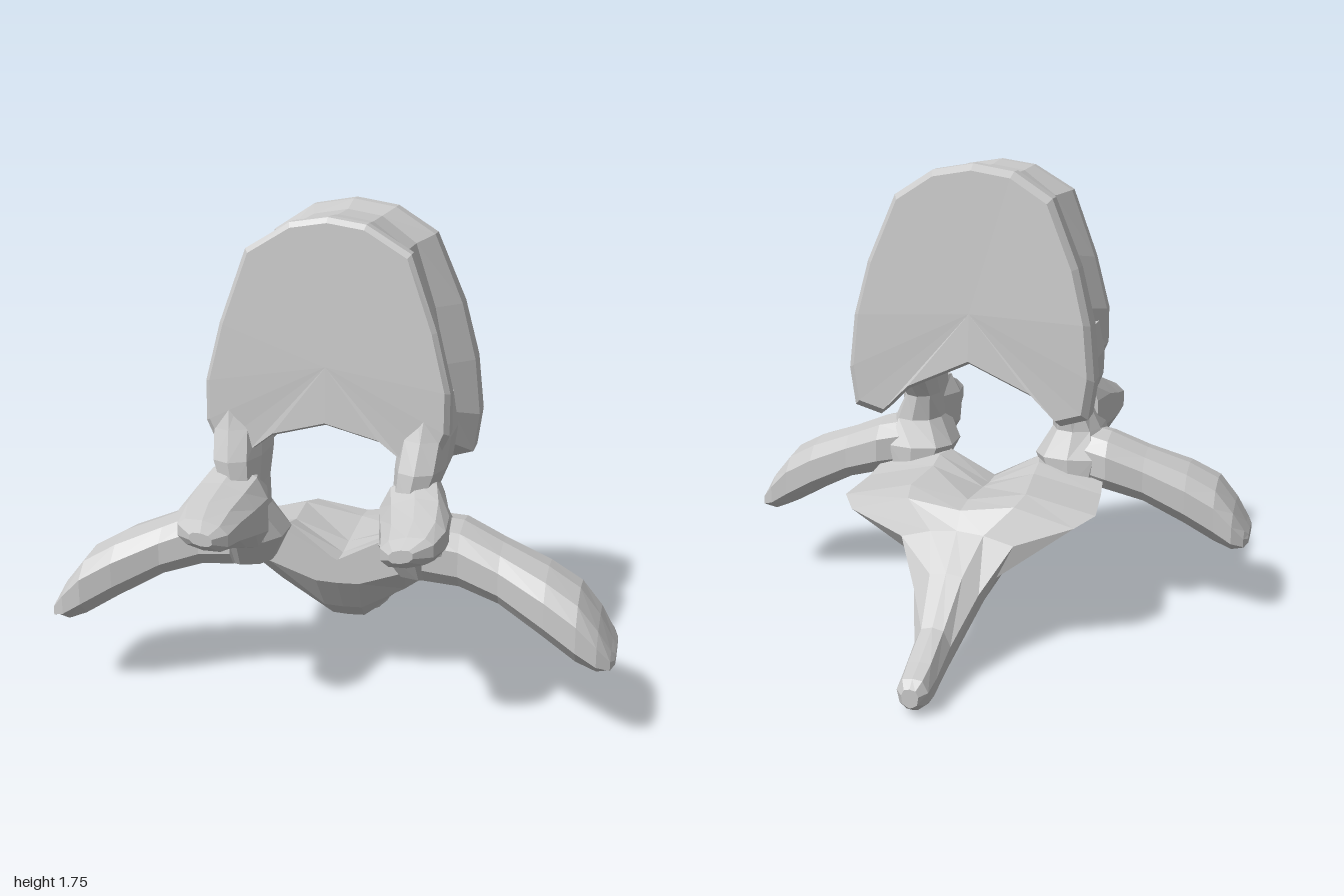
import * as THREE from 'three';

const bone = new THREE.MeshStandardMaterial({ color: 0xcacaca, flatShading: true });
bone.name = 'bone grey';

// Skin a list of equal-length rings and close both ends with fans; faces always point outward
function loft(rings) {
  const n = rings[0].length, pos = rings.flat(2), idx = [];
  for (let r = 0; r < rings.length - 1; r++) {
    for (let i = 0; i < n; i++) {
      const a = r * n + i, b = r * n + (i + 1) % n;
      idx.push(a, b, a + n, b, b + n, a + n);
    }
  }
  [0, rings.length - 1].forEach((r, end) => {
    const c = pos.length / 3;
    for (let k = 0; k < 3; k++) pos.push(rings[r].reduce((s, p) => s + p[k], 0) / n);
    for (let i = 0; i < n; i++) {
      const a = r * n + i, b = r * n + (i + 1) % n;
      if (end) idx.push(a, b, c); else idx.push(b, a, c);
    }
  });
  const point = (i) => new THREE.Vector3().fromArray(pos, i * 3);
  let volume = 0;
  for (let i = 0; i < idx.length; i += 3) {
    volume += point(idx[i]).dot(point(idx[i + 1]).cross(point(idx[i + 2])));
  }
  if (volume < 0) idx.reverse();
  const geometry = new THREE.BufferGeometry();
  geometry.setAttribute('position', new THREE.Float32BufferAttribute(pos, 3));
  geometry.setIndex(idx);
  geometry.computeVertexNormals();
  return geometry;
}

// Complete a half outline that runs from the top centre to the bottom centre
function mirrorHalf(half) {
  return [...half, ...half.slice(1, -1).reverse().map(([x, y]) => [-x, y])];
}

// Slightly squared oval; place(u, v) puts it in space
function oval(u0, u1, v0, v1, place, sides = 10) {
  const soft = (t) => Math.sign(t) * Math.abs(t) ** 0.8;
  return Array.from({ length: sides }, (_, i) => {
    const a = ((i + 0.5) / sides) * Math.PI * 2;
    return place((u0 + u1) / 2 + soft(Math.cos(a)) * (u1 - u0) / 2,
      (v0 + v1) / 2 + soft(Math.sin(a)) * (v1 - v0) / 2);
  });
}

// Body: arched block with flared rims, a narrow waist and a notch over the canal
function bodyGeometry() {
  const back = [[0, 1.755], [0.15, 1.73], [0.29, 1.64], [0.39, 1.4], [0.44, 1.2],
    [0.46, 1.0], [0.44, 0.86], [0.34, 0.83], [0.24, 0.93], [0, 1.04]];
  const waist = [[0, 1.73], [0.12, 1.71], [0.24, 1.62], [0.31, 1.4], [0.35, 1.2],
    [0.38, 1.03], [0.36, 0.92], [0.29, 0.92], [0.2, 1.02], [0, 1.06]];
  const front = [[0, 1.74], [0.13, 1.72], [0.28, 1.63], [0.37, 1.38], [0.42, 1.18],
    [0.42, 1.04], [0.38, 0.95], [0.28, 0.93], [0.19, 1.0], [0, 1.05]];
  // outline, z, lean of z with height, inset
  const rings = [
    [back, -0.09, 0.07, 0.95], [back, -0.065, 0.08, 1], [back, 0.035, 0.01, 1],
    [waist, 0.13, 0, 1], [waist, 0.27, 0, 1], [front, 0.4, -0.04, 1],
    [front, 0.455, -0.06, 1], [front, 0.475, -0.07, 0.96],
  ];
  return loft(rings.map(([half, z, lean, s]) => mirrorHalf(half).map(([x, y]) =>
    [x * s, 1.3 + (y - 1.3) * s, z + lean * Math.max(0, y - 1.1)])));
}

// Arch floor running back into the tapering spine
function spineGeometry() {
  // z, top centre y, shoulder x y, edge x y, low x y, keel half width, keel y
  const sections = [
    [0.31, 0.50, 0.18, 0.60, 0.40, 0.57, 0.25, 0.48, 0.08, 0.42],
    [0.22, 0.50, 0.20, 0.60, 0.45, 0.54, 0.23, 0.38, 0.07, 0.29],
    [0.13, 0.51, 0.20, 0.58, 0.46, 0.52, 0.21, 0.35, 0.06, 0.22],
    [-0.09, 0.53, 0.22, 0.57, 0.48, 0.51, 0.20, 0.36, 0.05, 0.15],
    [-0.19, 0.52, 0.20, 0.55, 0.42, 0.49, 0.17, 0.33, 0.05, 0.115],
    [-0.24, 0.46, 0.10, 0.45, 0.21, 0.42, 0.13, 0.28, 0.045, 0.10],
    [-0.38, 0.35, 0.06, 0.34, 0.12, 0.28, 0.09, 0.16, 0.04, 0.06],
    [-0.55, 0.215, 0.04, 0.205, 0.065, 0.15, 0.055, 0.07, 0.03, 0.035],
    [-0.70, 0.155, 0.04, 0.15, 0.06, 0.10, 0.05, 0.035, 0.03, 0.005],
    [-0.78, 0.13, 0.035, 0.125, 0.055, 0.085, 0.045, 0.04, 0.02, 0.02],
    [-0.81, 0.105, 0.02, 0.10, 0.03, 0.08, 0.025, 0.05, 0.01, 0.04],
  ];
  return loft(sections.map(([z, top, sx, sy, ex, ey, lx, ly, kx, ky]) =>
    mirrorHalf([[0, top], [sx, sy], [ex, ey], [lx, ly], [kx, ky], [0, ky - 0.003]])
      .map(([x, y]) => [x, y, z])));
}

// Pillar joining the body to the arch: y, x range, z range
function pedicleGeometry(side) {
  return loft([
    [1.14, 0.28, 0.40, 0.16, 0.45],
    [1.02, 0.24, 0.42, 0.14, 0.50],
    [0.92, 0.23, 0.41, 0.17, 0.55],
    [0.82, 0.23, 0.37, 0.245, 0.56],
    [0.72, 0.225, 0.42, 0.25, 0.55],
    [0.62, 0.165, 0.46, 0.20, 0.51],
    [0.51, 0.22, 0.42, 0.20, 0.44],
  ].map(([y, x0, x1, z0, z1]) => oval(x0, x1, z0, z1, (x, z) => [side * x, y, z])));
}

// Forward joint prong, its outer side higher than the inner: z, x range, y range
function jointGeometry(side) {
  return loft([
    [0.38, 0.23, 0.40, 0.60, 0.90],
    [0.50, 0.19, 0.43, 0.60, 0.90],
    [0.58, 0.21, 0.45, 0.63, 0.86],
    [0.68, 0.235, 0.455, 0.665, 0.82],
    [0.76, 0.25, 0.43, 0.685, 0.79],
    [0.81, 0.29, 0.37, 0.72, 0.765],
  ].map(([z, x0, x1, y0, y1]) => oval(x0, x1, y0, y1,
    (x, y) => [side * x, y + (x - 0.34) * 0.15, z])));
}

// Drooping side wing with a paddle-shaped end: x, y range, z range
function wingGeometry(side) {
  return loft([
    [0.34, 0.50, 0.73, 0.24, 0.50],
    [0.46, 0.485, 0.71, 0.20, 0.49],
    [0.60, 0.445, 0.65, 0.225, 0.51],
    [0.76, 0.36, 0.59, 0.235, 0.57],
    [0.87, 0.295, 0.53, 0.245, 0.60],
    [0.94, 0.27, 0.44, 0.25, 0.595],
    [0.985, 0.28, 0.36, 0.28, 0.57],
    [1.0, 0.295, 0.335, 0.33, 0.52],
  ].map(([x, y0, y1, z0, z1]) => oval(z0, z1, y0, y1, (z, y) => [side * x, y, z])));
}

export function createModel() {
  const model = new THREE.Group();
  model.name = 'vertebra';
  const add = (name, geometry) => {
    const mesh = new THREE.Mesh(geometry, bone);
    mesh.name = name;
    model.add(mesh);
  };
  add('body', bodyGeometry());
  add('archAndSpine', spineGeometry());
  for (const [label, side] of [['left', 1], ['right', -1]]) {
    add(label + 'Pedicle', pedicleGeometry(side));
    add(label + 'JointProng', jointGeometry(side));
    add(label + 'SideWing', wingGeometry(side));
  }
  return model;
}
